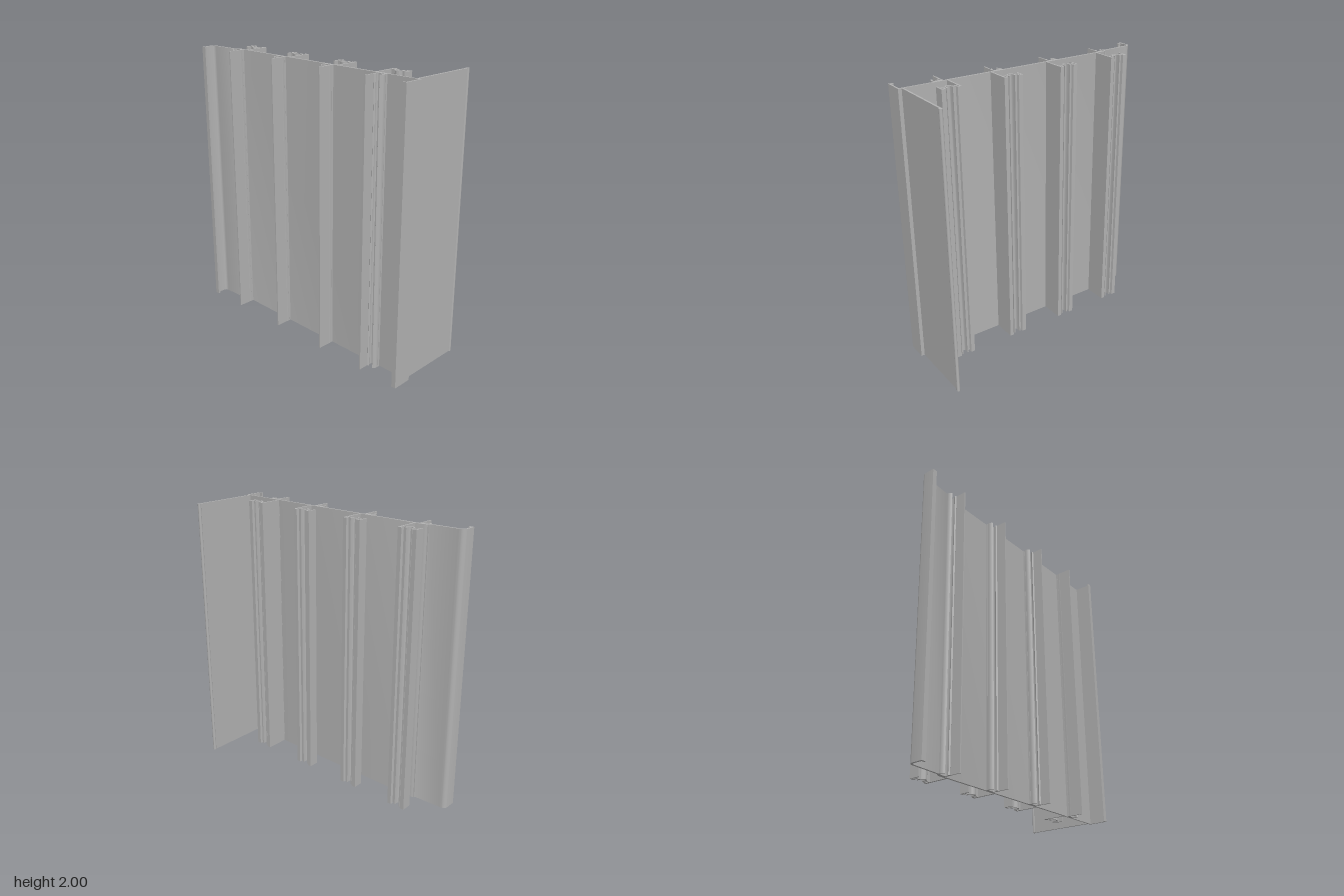
import * as THREE from 'three';
import { toCreasedNormals } from 'three/addons/utils/BufferGeometryUtils.js';

const HEIGHT = 2;
const aluminium = new THREE.MeshStandardMaterial({ color: 0xb2b2b2 });
aluminium.name = 'aluminium grey';

// Points along an arc in plan (x, z), angles in degrees
function arc(cx, cz, r, from, to, steps = 12) {
  return Array.from({ length: steps + 1 }, (_, i) => {
    const a = THREE.MathUtils.degToRad(from + ((to - from) * i) / steps);
    return [cx + r * Math.cos(a), cz + r * Math.sin(a)];
  });
}

// Thin wall: a plan centreline widened with mitred corners, then raised to full height
function wall(name, path, t) {
  const p = path.map(([x, z]) => new THREE.Vector2(x, -z));
  const left = [], right = [];
  p.forEach((v, i) => {
    const a = p[Math.max(i - 1, 0)], b = p[Math.min(i + 1, p.length - 1)];
    const d1 = (i > 0 ? v.clone().sub(a) : b.clone().sub(v)).normalize();
    const d2 = (i < p.length - 1 ? b.clone().sub(v) : v.clone().sub(a)).normalize();
    const n1 = new THREE.Vector2(-d1.y, d1.x), n2 = new THREE.Vector2(-d2.y, d2.x);
    const m = n1.clone().add(n2).normalize();
    m.multiplyScalar(t / 2 / Math.max(m.dot(n1), 0.4));
    left.push(v.clone().add(m));
    right.unshift(v.clone().sub(m));
  });
  const geo = new THREE.ExtrudeGeometry(new THREE.Shape([...left, ...right]), {
    depth: HEIGHT, bevelEnabled: false,
  });
  geo.rotateX(-Math.PI / 2);
  const mesh = new THREE.Mesh(toCreasedNormals(geo, 0.6), aluminium);
  mesh.name = name;
  return mesh;
}

// Back rail: standing wall with a hooked head; s = -1 puts the head towards -x, 1 towards +x
function backRail(x, s) {
  const g = new THREE.Group();
  g.name = 'backRail';
  const at = (pts) => pts.map(([dx, z]) => [x + s * dx, z]);
  g.add(
    wall('railWall', at([[0, 0.185], [0, 0.016], [0.018, 0.016], [0.021, 0.03]]), 0.012),
    wall('railOuterLip', at([[0.106, 0.03], [0.109, 0.016], [0.13, 0.016], [0.13, 0.083]]), 0.011),
    wall('railShelfInner', at([[0, 0.046], [0.044, 0.046]]), 0.009),
    wall('railShelfOuter', at([[0.088, 0.046], [0.13, 0.046]]), 0.009),
    wall('railScrewGroove', at([
      [0.088, 0.024], [0.088, 0.046], ...arc(0.066, 0.05, 0.021, 0, 180), [0.044, 0.046], [0.044, 0.024],
    ]), 0.01),
  );
  return g;
}

// Front rail: straight leg with an open round screw boss beside it
function frontRail(x, s) {
  const g = new THREE.Group();
  g.name = 'frontRail';
  const cx = x + s * 0.031;
  g.add(
    wall('frontLeg', [[x, 0.2], [x, 0.318]], 0.009),
    wall('screwBoss', arc(cx, 0.218, 0.031, 125, 415, 22), 0.011),
    wall('bossNeck', [[cx - 0.036, 0.2], [cx + 0.036, 0.2]], 0.014),
  );
  return g;
}

export function createModel() {
  const model = new THREE.Group();
  model.name = 'extrudedFrameProfile';

  // Main web, stepping forward into the curved edge flange
  model.add(
    wall('mainWeb', [
      [0.62, 0.187], [-0.675, 0.187], [-0.69, 0.193], [-0.71, 0.208], [-0.915, 0.219],
      ...arc(-0.922, 0.249, 0.03, 270, 180, 8), [-0.952, 0.313], [-0.925, 0.313],
    ], 0.014),
    wall('thinWeb', [[0.6, 0.185], [0.947, 0.185], [0.947, 0.314], [0.92, 0.314]], 0.011),
  );

  // Tall side fin with a beaded edge
  model.add(wall('sideFin', [[0.921, 0.185], [0.921, -0.31]], 0.013));
  const bead = new THREE.Mesh(new THREE.CylinderGeometry(0.012, 0.012, HEIGHT, 20), aluminium);
  bead.name = 'finBead';
  bead.position.set(0.923, HEIGHT / 2, -0.308);
  model.add(bead);

  // Four rails on each face; the last pair is mirrored
  for (const [x, s] of [[-0.609, -1], [-0.165, -1], [0.284, -1], [0.609, 1]]) {
    model.add(backRail(x, s));
  }
  for (const [x, s] of [[-0.641, -1], [-0.196, -1], [0.253, -1], [0.638, 1]]) {
    model.add(frontRail(x, s));
  }
  return model;
}
